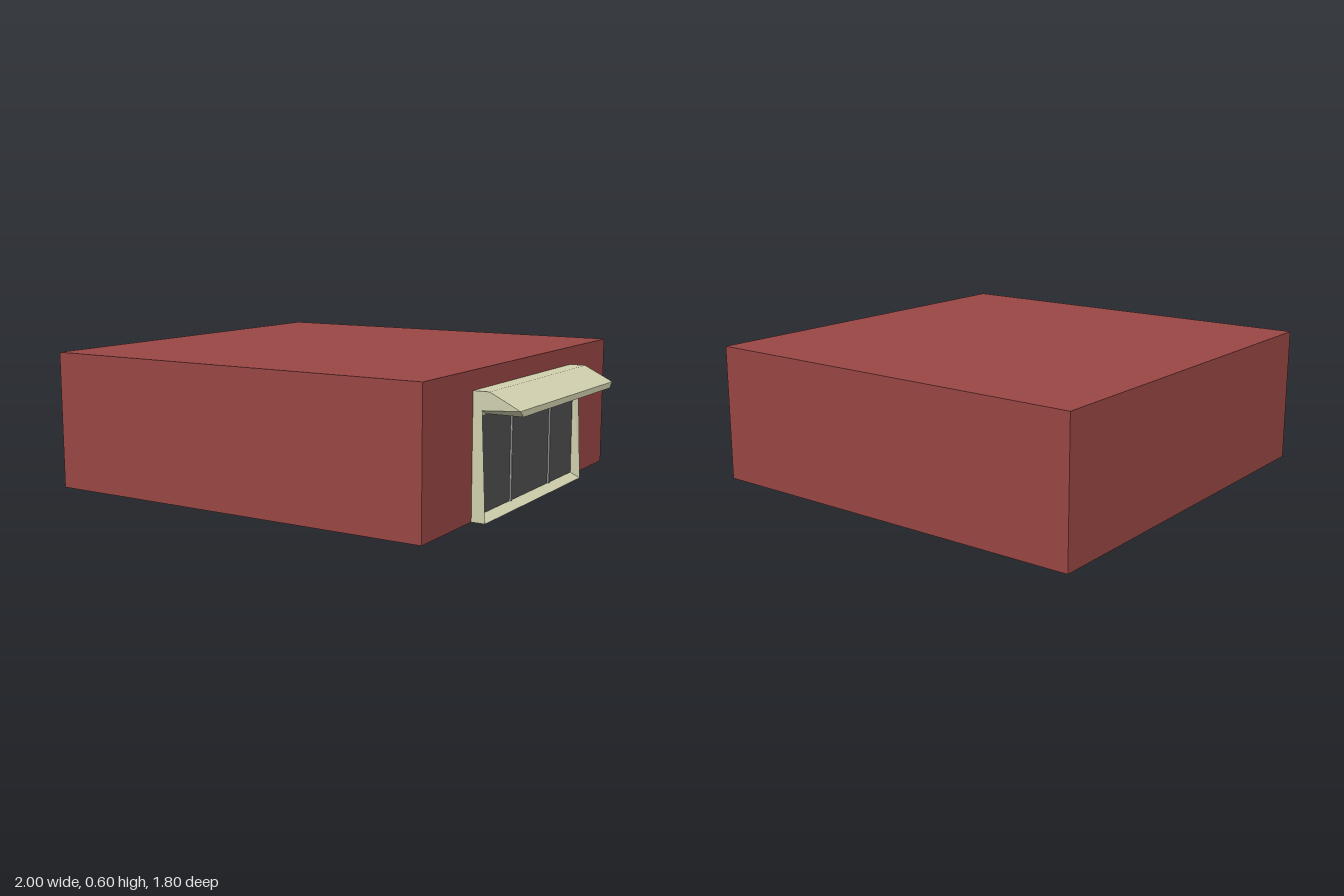
import * as THREE from 'three';

const WALL = 0.8;               // plane of the wall carrying the window
const Z0 = -0.48, Z1 = 0.5;     // outer ends of the window surround
const INSET = 0.028;            // width of the bevelled border

const paint = (color) => new THREE.MeshStandardMaterial({ color, flatShading: true, side: THREE.DoubleSide });

// Joins successive cross-sections (lists of [x, y, z]) with quads
function loft(sections, closed = false) {
  const pos = [];
  const n = sections[0].length;
  for (let s = 0; s < sections.length - 1; s++) {
    for (let i = 0; i < (closed ? n : n - 1); i++) {
      const j = (i + 1) % n;
      const [a, b] = [sections[s][i], sections[s][j]];
      const [d, c] = [sections[s + 1][i], sections[s + 1][j]];
      pos.push(...a, ...b, ...c, ...a, ...c, ...d);
    }
  }
  const geo = new THREE.BufferGeometry();
  geo.setAttribute('position', new THREE.Float32BufferAttribute(pos, 3));
  geo.computeVertexNormals();
  return geo;
}

export function createModel() {
  const group = new THREE.Group();
  const red = paint(0x9a4744), cream = paint(0xd2d2b0);
  const dark = paint(0x505050), metal = paint(0xaaaaaa);

  const add = (name, geo, mat, x = 0, y = 0, z = 0) => {
    const mesh = new THREE.Mesh(geo, mat);
    mesh.name = name;
    mesh.position.set(x, y, z);
    group.add(mesh);
    return mesh;
  };

  // Main block
  add('building', new THREE.BoxGeometry(1.8, 0.6, 1.8), red, -0.1, 0.3, 0);

  // Jambs and sill: U-shaped path, from the wall out to the rim and in to the pane
  const path = (xLow, xHigh, inset, top) => [
    [xHigh, top, Z1 - inset], [xLow, inset, Z1 - inset],
    [xLow, inset, Z0 + inset], [xHigh, top, Z0 + inset],
  ];
  add('windowFrame', loft([
    path(WALL, WALL, 0, 0.445),
    path(0.86, 0.84, 0, 0.445),
    path(0.825, 0.825, INSET, 0.43),
  ]), cream);

  // Hood with header, sloping down to its front lip
  const profile = new THREE.Shape([
    [0.8, 0.425], [0.84, 0.425], [0.84, 0.445], [1, 0.455], [0.87, 0.52], [0.8, 0.52],
  ].map(([x, y]) => new THREE.Vector2(x, y)));
  // header narrows to the pane; the hood itself spans the full surround
  add('hood', new THREE.ExtrudeGeometry(profile, { depth: Z1 - Z0, bevelEnabled: false }), cream, 0, 0, Z0);

  // Soffit: bevelled at both ends down to a flat underside
  const ring = (yBack, yFront, inset) => [
    [0.84, yBack, Z0 + inset], [1, yFront, Z0 + inset],
    [1, yFront, Z1 - inset], [0.84, yBack, Z1 - inset],
  ];
  add('soffitEdge', loft([ring(0.445, 0.455, 0), ring(0.43, 0.43, INSET)], true), cream);
  const midZ = (Z0 + Z1) / 2, span = Z1 - Z0 - 2 * INSET;
  add('soffit', new THREE.BoxGeometry(0.08, 0.006, span), cream, 0.96, 0.433, midZ);
  add('soffitPanel', new THREE.BoxGeometry(0.08, 0.006, span), dark, 0.88, 0.433, midZ);

  // Pane and its two upright bars
  add('windowPane', new THREE.BoxGeometry(0.025, 0.4, span), dark, 0.8125, 0.228, midZ);
  for (const z of [0.2, -0.19]) {
    add('windowBar', new THREE.BoxGeometry(0.01, 0.4, 0.01), metal, 0.827, 0.228, z);
  }
  return group;
}
